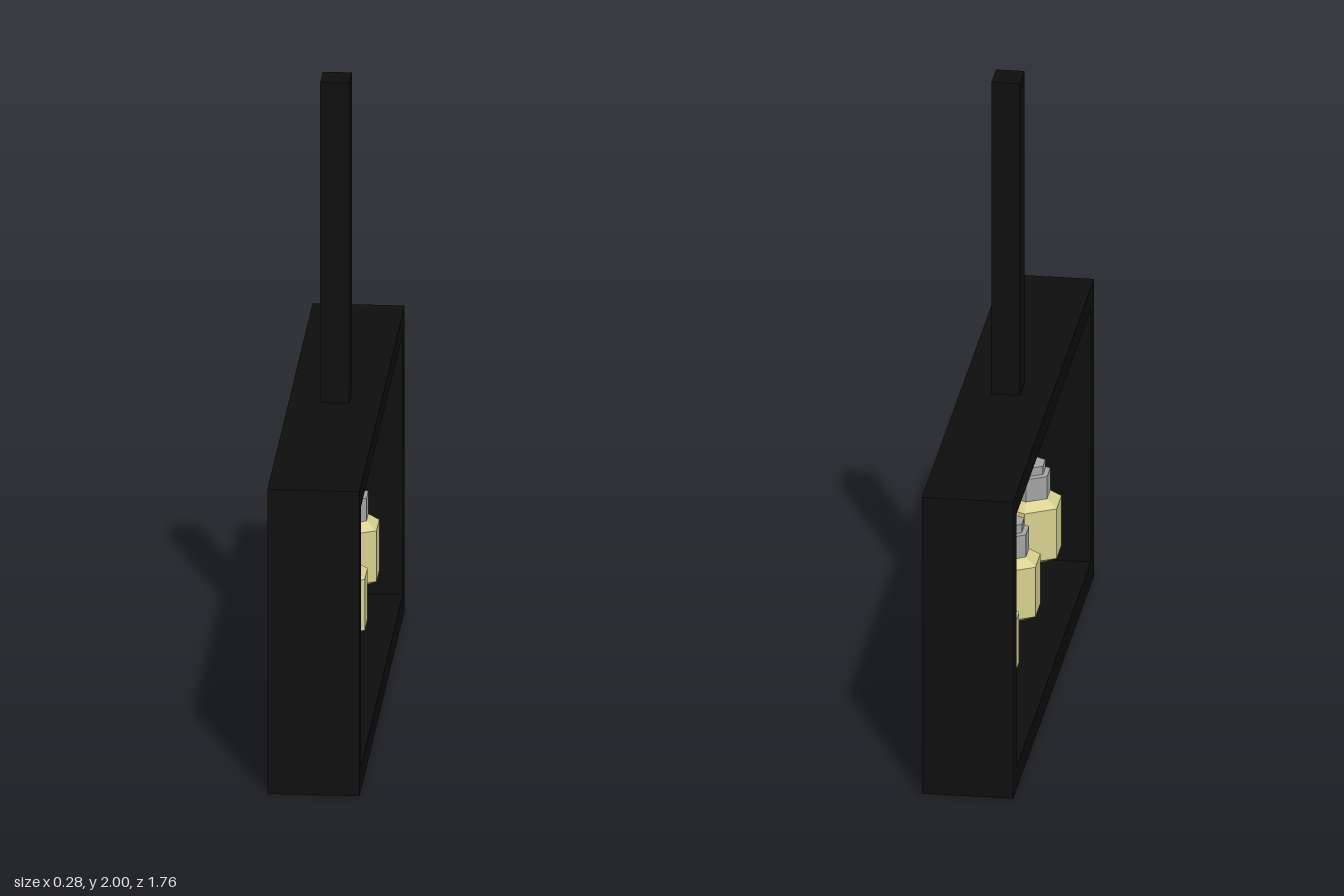
import * as THREE from 'three';

export function createModel() {
  const model = new THREE.Group();
  model.name = 'pendantLamp';

  const material = (name, color) => {
    const m = new THREE.MeshStandardMaterial({ color, flatShading: true });
    m.name = name;
    return m;
  };
  const black = material('blackMetal', 0x0d0d0d);
  const cableBlack = material('cableBlack', 0x050505);
  const grey = material('socketGrey', 0xa3a3a3);
  const yellow = material('bulbYellow', 0xd6d08f);

  const add = (parent, name, geometry, mat, x = 0, y = 0, z = 0) => {
    const mesh = new THREE.Mesh(geometry, mat);
    mesh.name = name;
    mesh.position.set(x, y, z);
    parent.add(mesh);
    return mesh;
  };
  // Six-sided turned part from [radius, height] pairs, bottom to top
  const hexLathe = (profile) =>
    new THREE.LatheGeometry(profile.map(([r, y]) => new THREE.Vector2(r, y)), 6);

  // Rectangular frame, open through x
  const rectangle = (path, halfWidth, bottom, top) => path
    .moveTo(-halfWidth, bottom).lineTo(halfWidth, bottom)
    .lineTo(halfWidth, top).lineTo(-halfWidth, top).closePath();
  const outline = new THREE.Shape();
  rectangle(outline, 0.88, 0, 0.975);
  const opening = new THREE.Path();
  rectangle(opening, 0.81, 0.073, 0.906);
  outline.holes.push(opening);
  const frame = new THREE.ExtrudeGeometry(outline, { depth: 0.28, bevelEnabled: false });
  frame.translate(0, 0, -0.14).rotateY(Math.PI / 2);
  add(model, 'frame', frame, black);

  // Ceiling stem
  add(model, 'stem', new THREE.BoxGeometry(0.088, 1.03, 0.101), black, 0, 1.485, 0);

  // Three hanging bulbs
  const cable = new THREE.CylinderGeometry(0.019, 0.019, 0.38, 6);
  const socket = hexLathe([
    [0, 0.43], [0.069, 0.43], [0.069, 0.51], [0.053, 0.513], [0.053, 0.54], [0, 0.54],
  ]);
  const bulb = hexLathe([
    [0, 0.228], [0.062, 0.228], [0.106, 0.25], [0.106, 0.413], [0.069, 0.437], [0, 0.437],
  ]);
  for (const z of [-0.46, 0, 0.46]) {
    const light = new THREE.Group();
    light.name = 'hangingLight';
    light.position.z = z;
    add(light, 'cable', cable, cableBlack, 0, 0.72, 0);
    add(light, 'socket', socket, grey);
    add(light, 'bulb', bulb, yellow);
    model.add(light);
  }

  return model;
}
